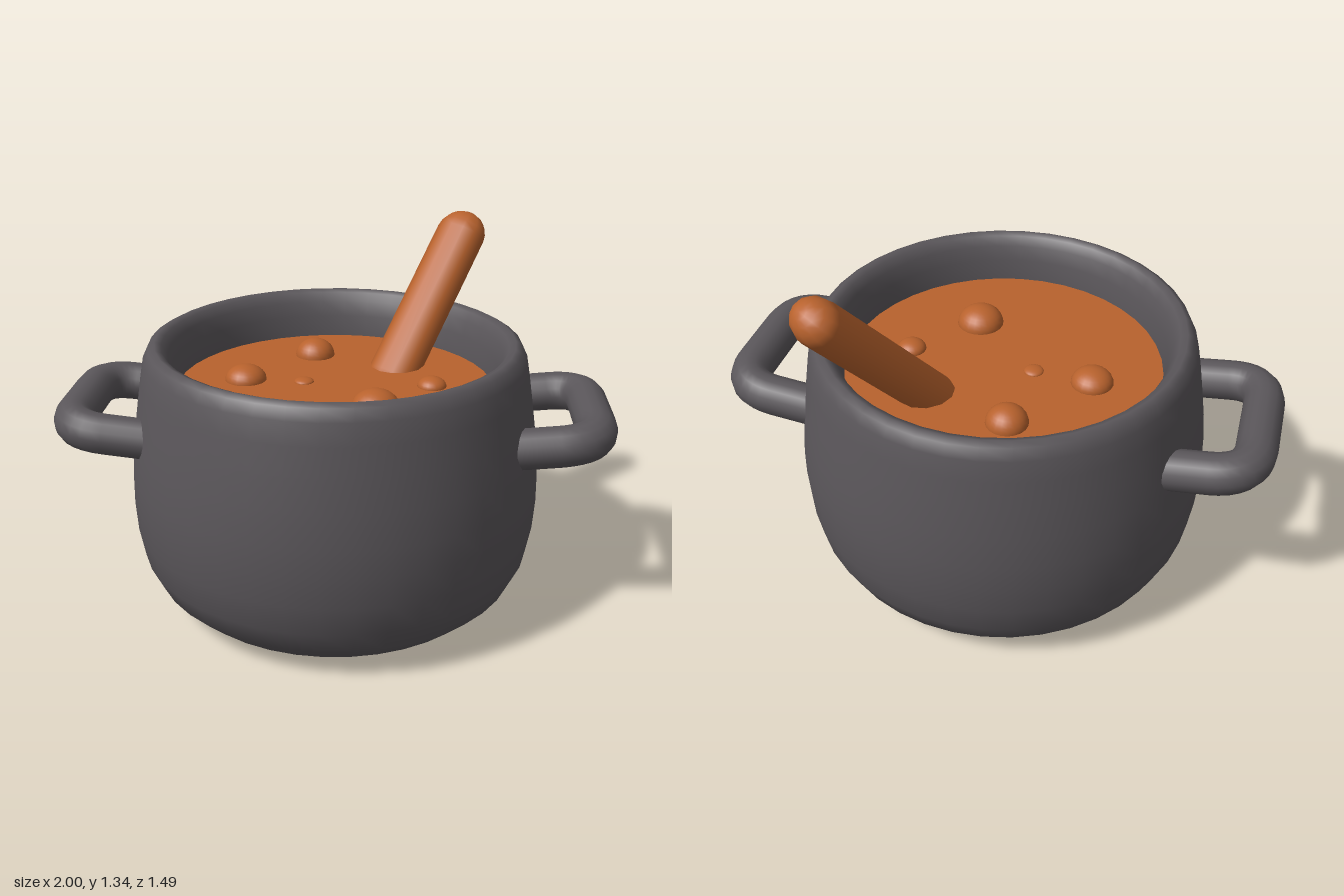
import * as THREE from 'three';

const iron = new THREE.MeshStandardMaterial({ color: 0x5a565a });
iron.name = 'dark iron';
const stew = new THREE.MeshStandardMaterial({ color: 0xb8622d });
stew.name = 'stew orange';

const SOUP_Y = 0.82;

function add(parent, name, geometry, material) {
  const mesh = new THREE.Mesh(geometry, material);
  mesh.name = name;
  parent.add(mesh);
  return mesh;
}

// Flat round plate facing up (or down)
function disc(radius, y, up) {
  return new THREE.CircleGeometry(radius, 40).rotateX(up ? -Math.PI / 2 : Math.PI / 2).translate(0, y, 0);
}

export function createModel() {
  const model = new THREE.Group();
  model.name = 'stewPot';

  // Pot wall: bulging outside, rounded rim, then down the inside
  const profile = [
    [0.5, 0.005], [0.6, 0.05], [0.675, 0.12], [0.718, 0.21], [0.738, 0.32], [0.745, 0.43],
    [0.743, 0.53], [0.732, 0.65], [0.714, 0.77], [0.698, 0.87], [0.684, 0.945], [0.665, 0.985],
    [0.642, 0.998], [0.618, 0.988], [0.598, 0.955], [0.582, 0.9], [0.572, 0.82], [0.565, 0.7],
  ].map(([r, y]) => new THREE.Vector2(r, y));
  add(model, 'potWall', new THREE.LatheGeometry(profile, 40), iron);
  add(model, 'potBase', disc(0.5, 0.005, false), iron);

  // Soup surface
  add(model, 'soup', disc(0.574, SOUP_Y, true), stew);

  // Bubbles: x, z, radius, height
  const bubbles = [
    [-0.1, -0.32, 0.075, 0.065], [-0.33, -0.025, 0.076, 0.055], [-0.115, -0.015, 0.036, 0.014],
    [0.35, 0, 0.053, 0.035], [0.155, 0.23, 0.086, 0.068],
  ];
  for (const [x, z, r, h] of bubbles) {
    const dome = new THREE.SphereGeometry(1, 20, 8, 0, Math.PI * 2, 0, Math.PI / 2);
    const bubble = add(model, 'bubble', dome, stew);
    bubble.scale.set(r, h, r);
    bubble.position.set(x, SOUP_Y, z);
  }

  // Side handles: a rounded bracket that rises slightly outward
  for (const side of [1, -1]) {
    const v = (x, y, z) => new THREE.Vector3(side * x, y, z);
    const path = new THREE.CurvePath();
    path.add(new THREE.LineCurve3(v(0.6, 0.69, 0.268), v(0.79, 0.71, 0.268)));
    path.add(new THREE.QuadraticBezierCurve3(v(0.79, 0.71, 0.268), v(0.927, 0.727, 0.268), v(0.927, 0.727, 0.12)));
    path.add(new THREE.LineCurve3(v(0.927, 0.727, 0.12), v(0.927, 0.727, -0.12)));
    path.add(new THREE.QuadraticBezierCurve3(v(0.927, 0.727, -0.12), v(0.927, 0.727, -0.268), v(0.79, 0.71, -0.268)));
    path.add(new THREE.LineCurve3(v(0.79, 0.71, -0.268), v(0.6, 0.69, -0.268)));
    add(model, side > 0 ? 'leftHandle' : 'rightHandle', new THREE.TubeGeometry(path, 40, 0.073, 14), iron);
  }

  // Spoon shaft leaning out over the back left of the rim, wider than it is thick
  const foot = new THREE.Vector3(0.2, 0.78, -0.2);
  const tip = new THREE.Vector3(0.452, 1.258, -0.527);
  const along = tip.clone().sub(foot);
  const length = along.length();
  along.normalize();
  const across = new THREE.Vector3(0, 1, 0).cross(along).normalize();
  const depth = across.clone().cross(along);
  const shaft = new THREE.CapsuleGeometry(0.09, length, 5, 12);
  shaft.scale(1.1, 1, 0.9);
  const spoon = add(model, 'spoonShaft', shaft, stew);
  spoon.quaternion.setFromRotationMatrix(new THREE.Matrix4().makeBasis(across, along, depth));
  spoon.position.copy(foot).add(tip).multiplyScalar(0.5);

  return model;
}
